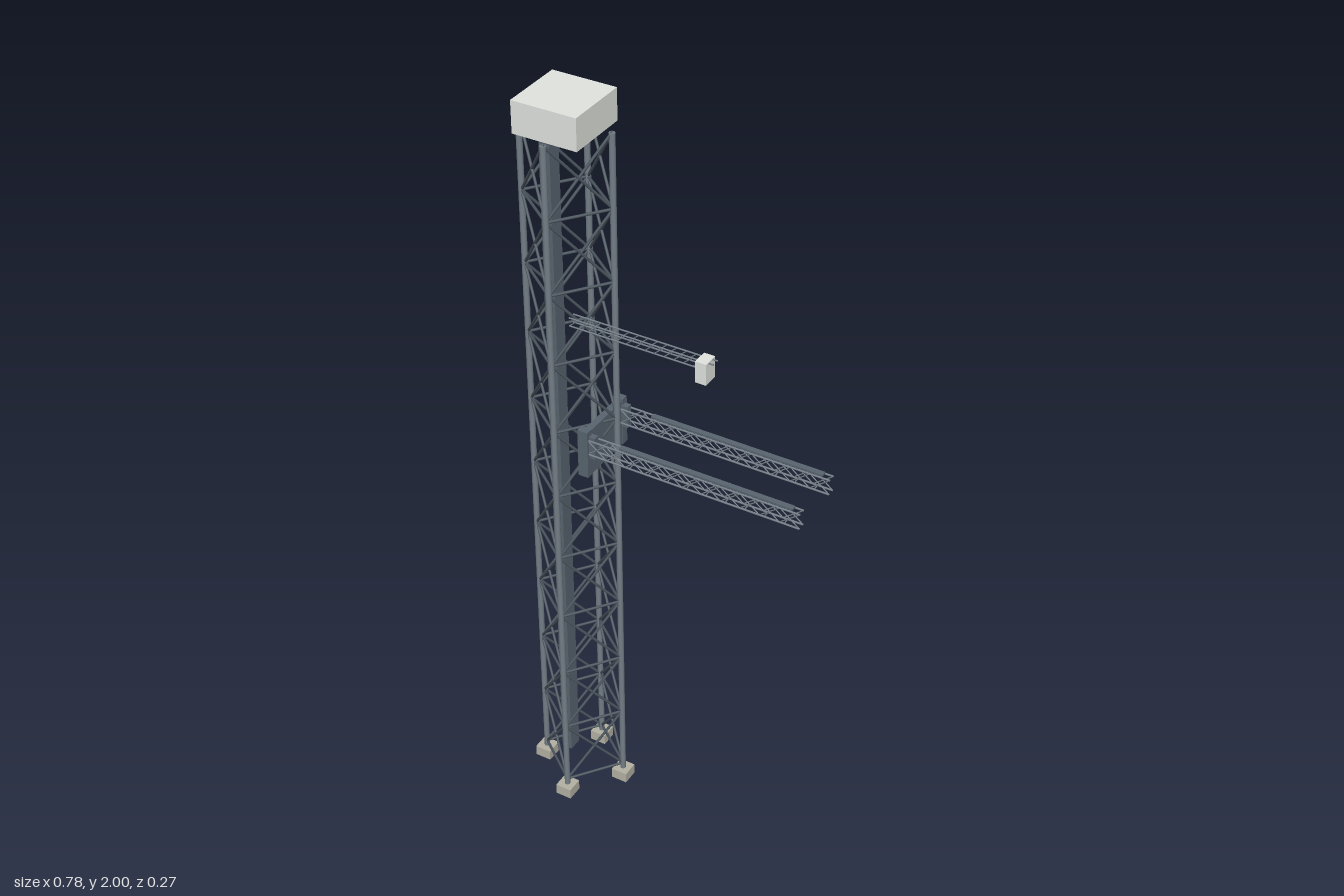
import * as THREE from 'three';

const mat = (name, color) => new THREE.MeshStandardMaterial({ name, color });

export function createModel() {
  const steel = mat('dark brace steel', 0x4a545d);
  const slate = mat('slate steel', 0x58646f);
  const light = mat('grey steel', 0x737d86);
  const pale = mat('pale housing', 0xe0e3de);
  const concrete = mat('concrete', 0xb3b0a3);
  const model = new THREE.Group();
  model.name = 'latticeTower';

  const group = (name) => {
    const g = new THREE.Group();
    g.name = name;
    model.add(g);
    return g;
  };
  // box given by its minimum and maximum corners
  const box = (parent, name, m, [x0, y0, z0], [x1, y1, z1]) => {
    const mesh = new THREE.Mesh(new THREE.BoxGeometry(x1 - x0, y1 - y0, z1 - z0), m);
    mesh.position.set((x0 + x1) / 2, (y0 + y1) / 2, (z0 + z1) / 2);
    mesh.name = name;
    parent.add(mesh);
  };
  // round bar of diameter t between two points
  const bar = (parent, name, m, a, b, t) => {
    const p = new THREE.Vector3(...a), q = new THREE.Vector3(...b);
    const geo = new THREE.CylinderGeometry(t / 2, t / 2, p.distanceTo(q), 12).rotateX(Math.PI / 2);
    const mesh = new THREE.Mesh(geo, m);
    mesh.position.copy(p).add(q).multiplyScalar(0.5);
    mesh.lookAt(q);
    mesh.name = name;
    parent.add(mesh);
  };

  // Tower: four legs on a turned square, braced in ten bays
  const tower = group('tower');
  const cx = -0.259, turn = Math.atan2(-0.015, 0.111), radius = 0.112;
  const base = 0.045, bays = 10, bay = 0.1885;
  const corner = (k, y) => {
    const a = turn + k * Math.PI / 2;
    return [cx + radius * Math.cos(a), y, radius * Math.sin(a)];
  };
  for (let k = 0; k < 4; k++) {
    const [x, , z] = corner(k, 0);
    box(tower, 'foot', concrete, [x - 0.022, 0, z - 0.022], [x + 0.022, 0.03, z + 0.022]);
    bar(tower, 'leg', light, corner(k, 0.03), corner(k, 1.93), 0.015);
    for (let i = 0; i < bays; i++) {
      const y0 = base + i * bay, y1 = y0 + bay;
      bar(tower, 'horizontal', steel, corner(k, y0), corner(k + 1, y0), 0.007);
      bar(tower, 'diagonal', steel, corner(k, y0), corner(k + 1, y1), 0.007);
      bar(tower, 'diagonal', steel, corner(k, y1), corner(k + 1, y0), 0.007);
    }
  }
  box(tower, 'topHousing', pale, [cx - 0.083, 1.92, -0.083], [cx + 0.083, 2, 0.083]);
  box(tower, 'guideColumn', slate, [-0.317, 0.055, -0.019], [-0.289, 1.92, 0.019]);

  // Carriage carrying the two arms
  const carriage = group('carriage');
  box(carriage, 'backPlate', slate, [-0.185, 1.06, -0.072], [-0.168, 1.185, 0.072]);
  for (const s of [-1, 1]) {
    box(carriage, 'sidePost', slate, [-0.193, 1.06, s * 0.079 - 0.01], [-0.166, 1.19, s * 0.079 + 0.01]);
    box(carriage, 'armBracket', slate, [-0.17, 1.115, s * 0.074 - 0.008], [-0.15, 1.175, s * 0.074 + 0.008]);
  }

  // Load arms: box trusses with a deck strip on top
  for (const s of [-1, 1]) {
    const arm = group(s > 0 ? 'frontArm' : 'rearArm');
    const zc = s * 0.0735, h = 0.0092, lo = 1.125, hi = 1.165, x0 = -0.17, x1 = 0.39;
    const n = 11, step = (x1 - x0) / n;
    for (const d of [-h, h]) {
      for (const y of [lo, hi]) bar(arm, 'chord', light, [x0, y, zc + d], [x1, y, zc + d], 0.005);
      for (let i = 0; i < n; i++) {
        const a = x0 + i * step, b = a + step;
        bar(arm, 'web', light, [a, lo, zc + d], [b, hi, zc + d], 0.003);
        bar(arm, 'web', light, [a, hi, zc + d], [b, lo, zc + d], 0.003);
      }
    }
    for (let x = -0.107; x < 0.37; x += step) {
      for (const y of [lo, hi]) bar(arm, 'crossTie', light, [x, y, zc - h], [x, y, zc + h], 0.003);
    }
    box(arm, 'deck', slate, [-0.085, 1.167, zc - 0.0072], [0.37, 1.172, zc + 0.0072]);
  }

  // Slim upper boom with a box at its tip
  const boom = group('upperBoom');
  const by0 = 1.476, by1 = 1.497, n = 14;
  for (const z of [0.072, 0.09]) {
    bar(boom, 'topChord', light, [-0.205, by1, z], [0.168, by1, z], 0.004);
    bar(boom, 'bottomChord', light, [-0.205, by0, z], [0.14, by0, z], 0.004);
    for (let i = 0; i < n; i++) {
      const a = -0.205 + i * 0.345 / n, b = a + 0.345 / n;
      bar(boom, 'web', light, [a, by0, z], [b, by1, z], 0.0025);
    }
  }
  box(boom, 'tipBox', pale, [0.128, 1.445, 0.062], [0.156, 1.5, 0.102]);

  return model;
}
